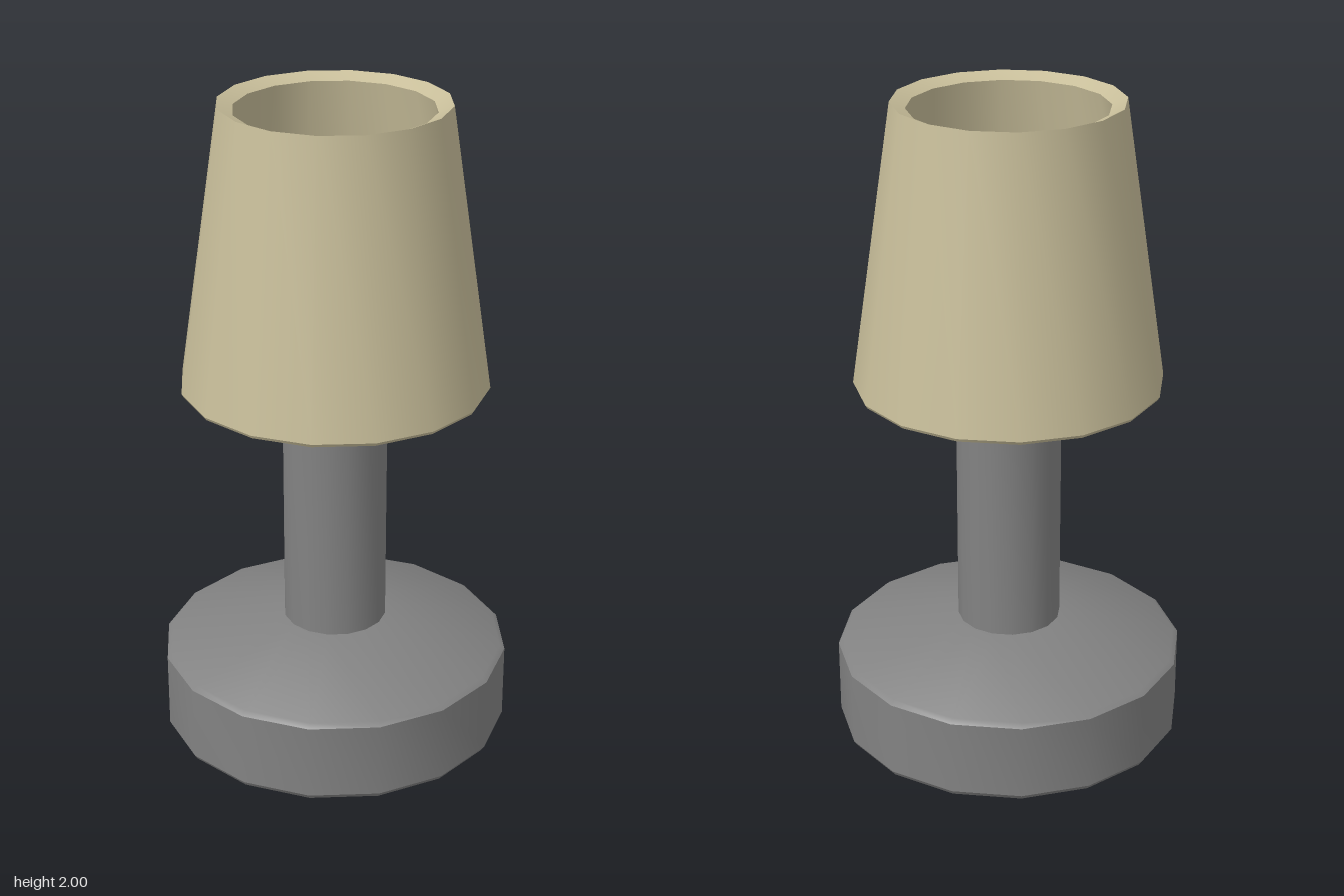
import * as THREE from 'three';
import { toCreasedNormals } from 'three/addons/utils/BufferGeometryUtils.js';

const material = (name, color) => {
  const m = new THREE.MeshStandardMaterial({ color });
  m.name = name;
  return m;
};

// Turn a profile of [radius, height] points into a faceted round part.
function turned(name, profile, sides, mat) {
  const points = profile.map(([r, y]) => new THREE.Vector2(r, y));
  const geometry = toCreasedNormals(new THREE.LatheGeometry(points, sides), Math.PI / 6);
  const mesh = new THREE.Mesh(geometry, mat);
  mesh.name = name;
  return mesh;
}

export function createModel() {
  const metal = material('grey metal', 0x828282);
  const fabric = material('beige shade', 0xc8be9a);
  const glow = material('warm bulb', 0xe0ba72);

  const lamp = new THREE.Group();
  lamp.name = 'tableLamp';

  lamp.add(
    // Weighted foot with small bevels and a sloping top
    turned('base', [[0, 0], [0.53, 0], [0.54, 0.015], [0.54, 0.25], [0.525, 0.262], [0.16, 0.35], [0, 0.35]], 16, metal),
    // Upright post
    turned('post', [[0.16, 0.34], [0.16, 1.17]], 16, metal),
    // Octagonal collar holding the bulb
    turned('socket', [[0, 1.16], [0.175, 1.16], [0.185, 1.17], [0.185, 1.23], [0, 1.23]], 8, metal),
    // Faceted bulb
    turned('bulb', [[0.145, 1.225], [0.275, 1.6], [0.195, 1.77], [0, 1.785]], 8, glow),
    // Hollow tapered shade, outside then back down the inside
    turned('shade', [[0.452, 1.14], [0.461, 1.135], [0.467, 1.145], [0.34, 2], [0.295, 1.98], [0.452, 1.14]], 16, fabric),
  );
  return lamp;
}
